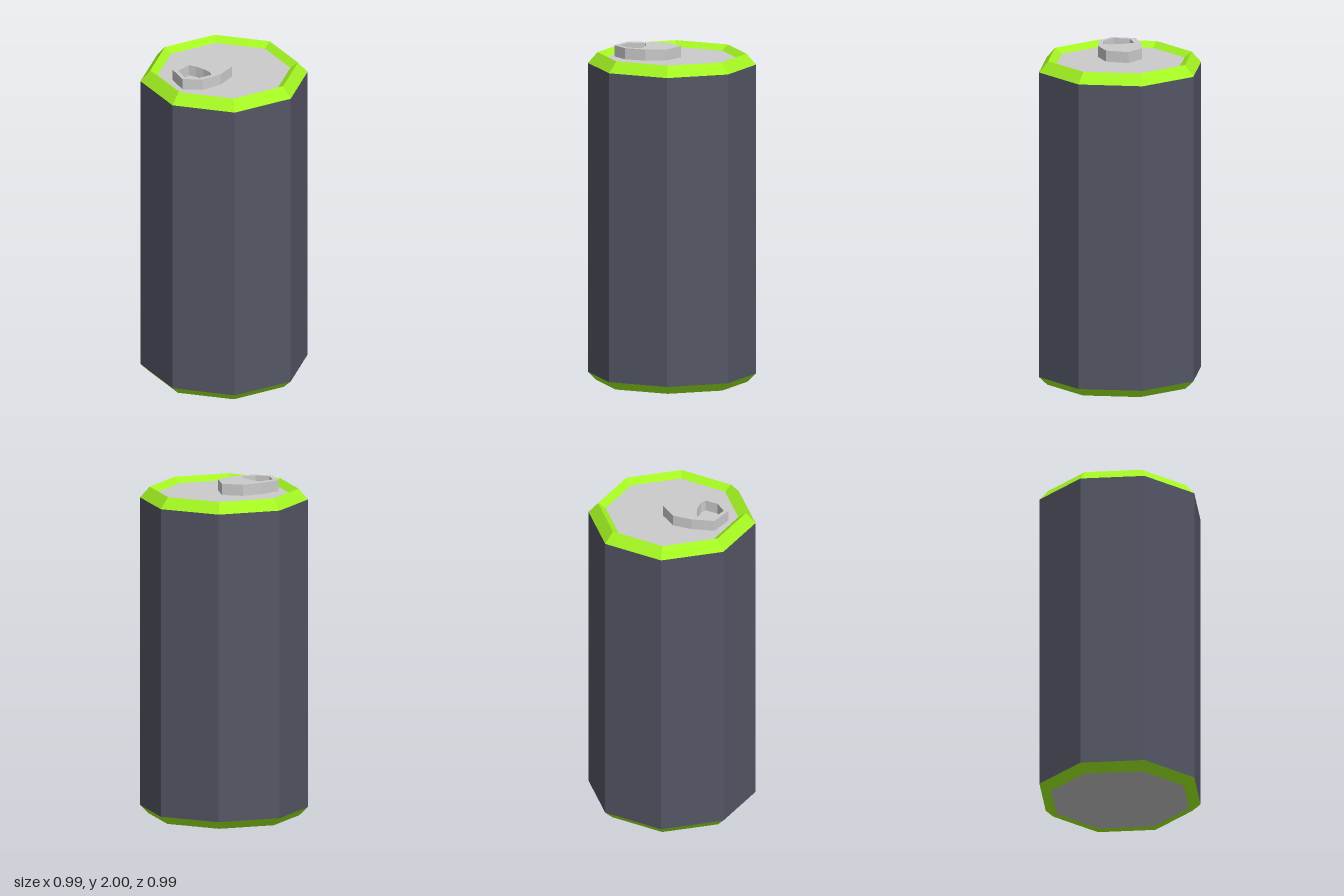
import * as THREE from 'three';

const SIDES = 8;

const material = (color) => new THREE.MeshStandardMaterial({ color, flatShading: true });

// Eight-sided ring or shell from [radius, height] pairs, ordered so faces point outward
function turned(name, profile, mat) {
  const points = profile.map(([r, y]) => new THREE.Vector2(r, y));
  const mesh = new THREE.Mesh(new THREE.LatheGeometry(points, SIDES), mat);
  mesh.name = name;
  return mesh;
}

// Outline given as [x, z] pairs; y of the shape becomes -z once laid flat
const outline = (pts) => pts.map(([x, z]) => new THREE.Vector2(x, -z));

export function createModel() {
  const group = new THREE.Group();
  group.name = 'drinkCan';

  const dark = material(0x545665);
  const green = material(0xa4f522);
  const grey = material(0xcccccc);

  const R = 0.497;      // body radius
  const lidY = 1.933;   // recessed lid height
  const baseY = 0.015;  // recessed base height

  // Body wall
  group.add(turned('body', [[R, 0.05], [R, 1.9]], dark));

  // Bevelled rims, each folding inward to its recessed plate
  group.add(turned('topRim', [[R, 1.9], [0.44, 1.965], [0.395, lidY]], green));
  group.add(turned('bottomRim', [[0.425, baseY], [0.445, 0], [R, 0.05]], green));

  // Lid and base plates
  group.add(turned('lid', [[0.395, lidY], [0, lidY]], grey));
  group.add(turned('base', [[0, baseY], [0.425, baseY]], grey));

  // Pull tab with finger hole
  const tabShape = new THREE.Shape(outline([
    [-0.342, -0.045], [-0.275, 0.053], [-0.155, 0.093], [-0.025, 0.08],
    [0.05, -0.037], [-0.025, -0.143], [-0.14, -0.172], [-0.275, -0.173],
  ]));
  tabShape.holes.push(new THREE.Path(outline([
    [-0.315, -0.05], [-0.265, -0.135], [-0.168, -0.132], [-0.158, -0.085],
    [-0.158, -0.03], [-0.17, 0.025], [-0.193, 0.053], [-0.268, 0.025],
  ])));
  const tabGeometry = new THREE.ExtrudeGeometry(tabShape, { depth: 2 - lidY, bevelEnabled: false });
  tabGeometry.rotateX(-Math.PI / 2);
  const tab = new THREE.Mesh(tabGeometry, grey);
  tab.name = 'pullTab';
  tab.position.y = lidY;
  group.add(tab);

  return group;
}
